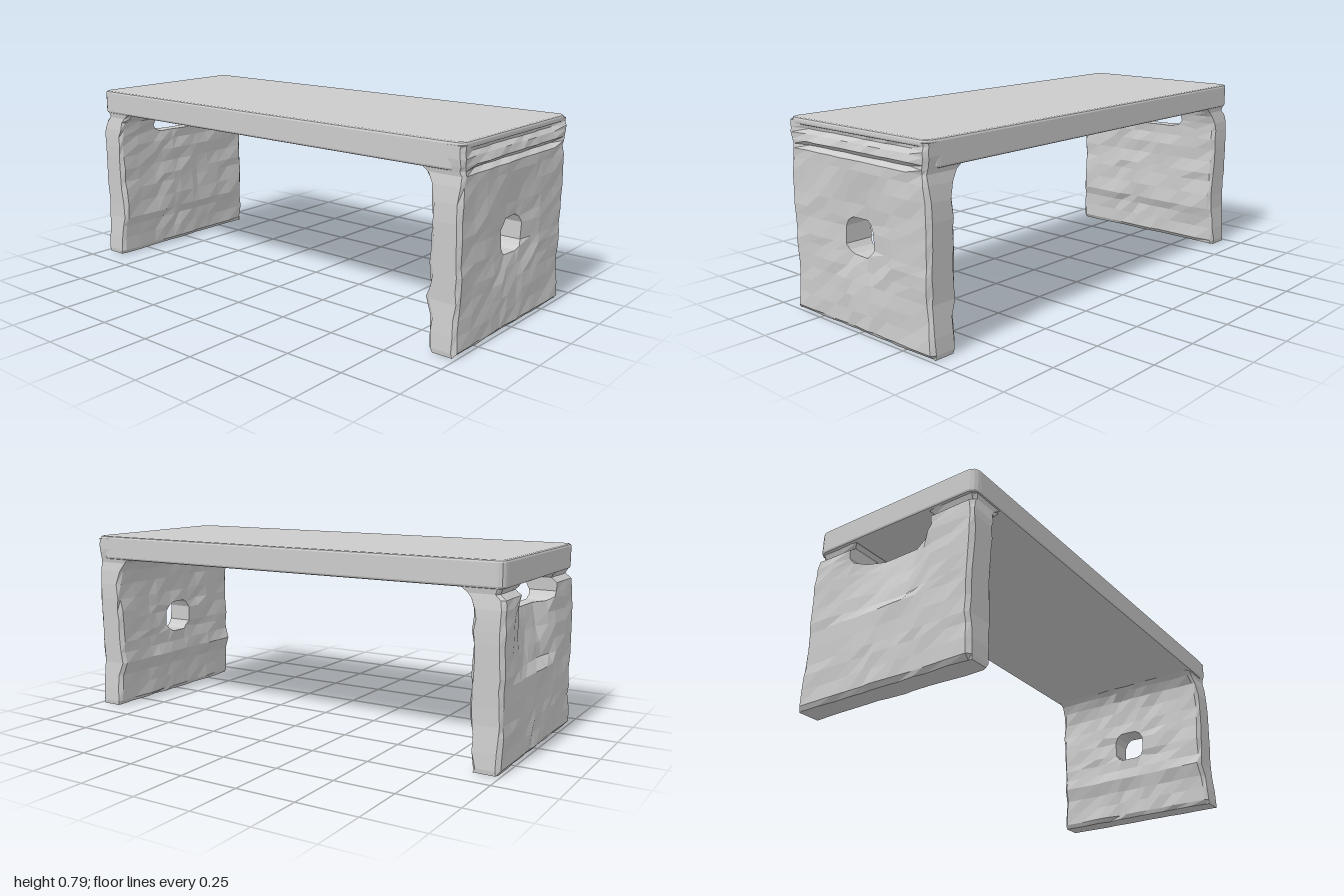
import * as THREE from 'three';

const material = new THREE.MeshStandardMaterial({ color: 0xcccccc, flatShading: true, side: THREE.DoubleSide });

// piecewise linear curve through [position, value] pairs
function curve(pts, t) {
  if (t <= pts[0][0]) return pts[0][1];
  for (let i = 1; i < pts.length; i++) {
    const [a, va] = pts[i - 1], [b, vb] = pts[i];
    if (t <= b) return va + (vb - va) * (t - a) / (b - a);
  }
  return pts[pts.length - 1][1];
}

// repeatable roughness, -1..1
function rough(i, j, k) {
  const s = Math.sin(i * 12.99 + j * 78.23 + k * 37.7) * 43758.55;
  return (s - Math.floor(s)) * 2 - 1;
}

// board with rounded corners lying flat between two heights
function board(name, y0, y1, z0, z1, halfWidth, bevel) {
  const r = 0.03, w = halfWidth - bevel, a = z0 + bevel, b = z1 - bevel;
  const s = new THREE.Shape();
  s.moveTo(-w + r, -b);
  s.lineTo(w - r, -b).quadraticCurveTo(w, -b, w, -b + r);
  s.lineTo(w, -a - r).quadraticCurveTo(w, -a, w - r, -a);
  s.lineTo(-w + r, -a).quadraticCurveTo(-w, -a, -w, -a - r);
  s.lineTo(-w, -b + r).quadraticCurveTo(-w, -b, -w + r, -b);
  const g = new THREE.ExtrudeGeometry(s, {
    depth: y1 - y0 - 2 * bevel, bevelThickness: bevel, bevelSize: bevel, bevelSegments: 2, curveSegments: 4,
  });
  g.rotateX(-Math.PI / 2).translate(0, y0 + bevel, 0);
  const m = new THREE.Mesh(g, material);
  m.name = name;
  return m;
}

// upright rough-hewn panel: outer face toward +z, inner face behind it, one opening
function panel(name, { ys, width, outer, inner, hole, seed }) {
  const xs = [-0.4, -0.385, -0.3, -0.22, -0.15, -0.08, -0.04, 0.04, 0.08, 0.15, 0.2, 0.3, 0.385, 0.4];
  const nx = xs.length - 1, ny = ys.length - 1;
  const [hx0, hx1, hy0, hy1] = hole;
  const filled = (i, j) => {
    if (i < 0 || j < 0 || i >= nx || j >= ny) return false;
    const x = (xs[i] + xs[i + 1]) / 2, y = (ys[j] + ys[j + 1]) / 2;
    return !(x > hx0 && x < hx1 && y > hy0 && y < hy1);
  };
  const point = (i, j, back) => {
    let x = xs[i], y = ys[j];
    const edge = i === 0 || i === nx || j === 0;
    let z = back ? inner(x, y) : outer(x, y);
    z += rough(i, j, seed + back) * (back ? 0.007 : 0.004);
    if (edge) z += back ? 0.012 : -0.014;
    // soften the corners of the opening
    if ((x === hx0 || x === hx1) && (y === hy0 || y === hy1)) {
      x += x === hx0 ? 0.017 : -0.017;
      y += y === hy0 ? 0.014 : -0.014;
    }
    return [x * curve(width, y) / 0.4, y, z];
  };
  const pos = [];
  const quad = (a, b, c, d) => pos.push(...a, ...b, ...c, ...a, ...c, ...d);
  for (let i = 0; i < nx; i++) for (let j = 0; j < ny; j++) {
    if (!filled(i, j)) continue;
    const c = [[i, j], [i + 1, j], [i + 1, j + 1], [i, j + 1]];
    const o = c.map(p => point(...p, 0)), n = c.map(p => point(...p, 1));
    quad(...o);
    quad(n[3], n[2], n[1], n[0]);
    // walls on the outline and around the opening
    [[0, -1], [1, 0], [0, 1], [-1, 0]].forEach(([di, dj], k) => {
      const e = (k + 1) % 4;
      if (!filled(i + di, j + dj)) quad(o[k], n[k], n[e], o[e]);
    });
  }
  const g = new THREE.BufferGeometry();
  g.setAttribute('position', new THREE.Float32BufferAttribute(pos, 3));
  g.computeVertexNormals();
  const m = new THREE.Mesh(g, material);
  m.name = name;
  return m;
}

export function createModel() {
  const group = new THREE.Group();
  group.name = 'bench';

  // seat with a thin lip overhanging the front
  group.add(board('seat', 0.685, 0.79, -0.985, 0.965, 0.395, 0.01));
  group.add(board('seatLip', 0.762, 0.79, -0.9, 0.99, 0.394, 0.009));

  const width = [[0, 0.403], [0.03, 0.407], [0.2, 0.391], [0.5, 0.4], [0.6, 0.397], [0.67, 0.383], [0.72, 0.395]];
  const inner = (x, y) => curve([[0, 0.882], [0.15, 0.875], [0.2, 0.853], [0.27, 0.866],
    [0.58, 0.868], [0.64, 0.855], [0.665, 0.835], [0.69, 0.8]], y);

  // front panel: small opening in a shallow hollow, two grooves beneath the lip
  group.add(panel('frontPanel', {
    ys: [0, 0.018, 0.08, 0.14, 0.2, 0.25, 0.3, 0.335, 0.405, 0.445, 0.5, 0.57, 0.63, 0.668, 0.685, 0.702, 0.73, 0.748, 0.765, 0.778],
    width, inner, seed: 1, hole: [-0.08, 0.08, 0.3, 0.445],
    outer: (x, y) => {
      const hollow = Math.max(0, 1 - Math.hypot(x / 0.2, (y - 0.4) / 0.24));
      const groove = Math.abs(x) > 0.31 ? 0 :
        curve([[0.668, 0], [0.685, 0.02], [0.702, 0], [0.73, 0.008], [0.748, 0.024], [0.765, 0.018]], y);
      return 0.993 - 0.03 * hollow - groove;
    },
  }));

  // back panel: wide slot under the seat with a scooped pocket below it
  const back = panel('backPanel', {
    ys: [0, 0.018, 0.08, 0.14, 0.18, 0.25, 0.32, 0.36, 0.42, 0.48, 0.53, 0.575, 0.61, 0.645, 0.665, 0.695],
    width, inner, seed: 5, hole: [-0.22, 0.2, 0.575, 0.695],
    outer: (x, y) => {
      const pocket = curve([[0.32, 0], [0.36, 0.025], [0.575, 0.07], [0.61, 0.04], [0.645, 0]], y)
        * curve([[-0.22, 0.3], [-0.15, 0.6], [-0.08, 1], [0.08, 1], [0.15, 0.5], [0.2, 0.2], [0.3, 0]], x)
        * (x < -0.25 ? 0 : 1);
      return curve([[0, 0.996], [0.62, 0.993], [0.645, 0.985], [0.665, 0.962], [0.695, 0.975]], y) - pocket;
    },
  });
  back.rotation.y = Math.PI;
  group.add(back);

  return group;
}
